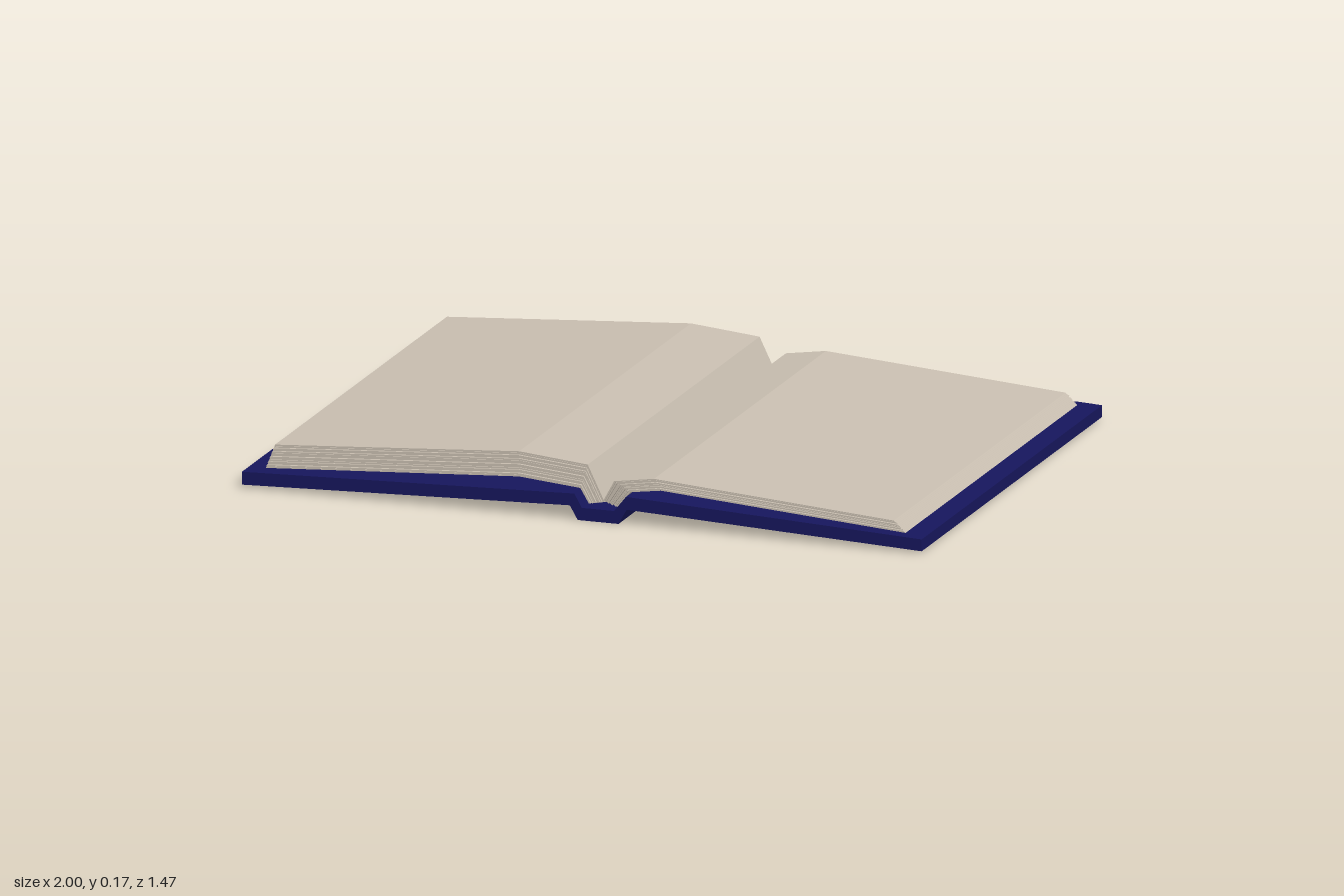
import * as THREE from 'three';

const navy = new THREE.MeshStandardMaterial({ color: 0x16165c });
const paper = new THREE.MeshStandardMaterial({ color: 0xc8beb0 });

// Extrude an xy outline along z, centred on zc
function slab(name, points, depth, zc, material) {
  const shape = new THREE.Shape(points.map(([x, y]) => new THREE.Vector2(x, y)));
  const geo = new THREE.ExtrudeGeometry(shape, { depth, bevelEnabled: false });
  geo.translate(0, 0, zc - depth / 2);
  const mesh = new THREE.Mesh(geo, material);
  mesh.name = name;
  return mesh;
}

const mix = (a, b, t) => a.map(([x, y], i) => [x + (b[i][0] - x) * t, y + (b[i][1] - y) * t]);

// A block of thin sheets, blended from its lowest sheet to its top sheet
function pageBlock(name, bottom, top, count, zc) {
  const group = new THREE.Group();
  group.name = name;
  for (let i = 0; i < count; i++) {
    const low = mix(bottom, top, i / count);
    const high = mix(bottom, top, (i + 0.85) / count);
    const shift = 0.003 * Math.sin(i * 2.4); // slightly uneven sheet ends
    group.add(slab('page', [...low, ...high.reverse()], 1.4, zc + shift, paper));
  }
  return group;
}

export function createModel() {
  const book = new THREE.Group();
  book.name = 'openBook';

  // Hard cover: two boards, a sunken spine and sloped hinges in one outline
  book.add(slab('cover', [
    [-1, 0.008], [-0.035, 0.04], [-0.012, 0], [0.108, 0], [0.132, 0.043], [1, 0.006],
    [1, 0.04], [0.13, 0.08], [0.095, 0.036], [0, 0.036], [-0.022, 0.075], [-1, 0.045],
  ], 1.47, 0, navy));

  // Thick page block on the -x side
  book.add(pageBlock('rightPages',
    [[-0.945, 0.05], [-0.2, 0.096], [-0.02, 0.08], [0.005, 0.038]],
    [[-0.918, 0.12], [-0.2, 0.169], [0.002, 0.15], [0.052, 0.046]], 14, -0.008));

  // Thinner page block on the +x side
  book.add(pageBlock('leftPages',
    [[0.092, 0.038], [0.13, 0.084], [0.22, 0.097], [0.94, 0.044]],
    [[0.05, 0.052], [0.082, 0.112], [0.2, 0.13], [0.905, 0.077]], 10, 0));

  return book;
}
